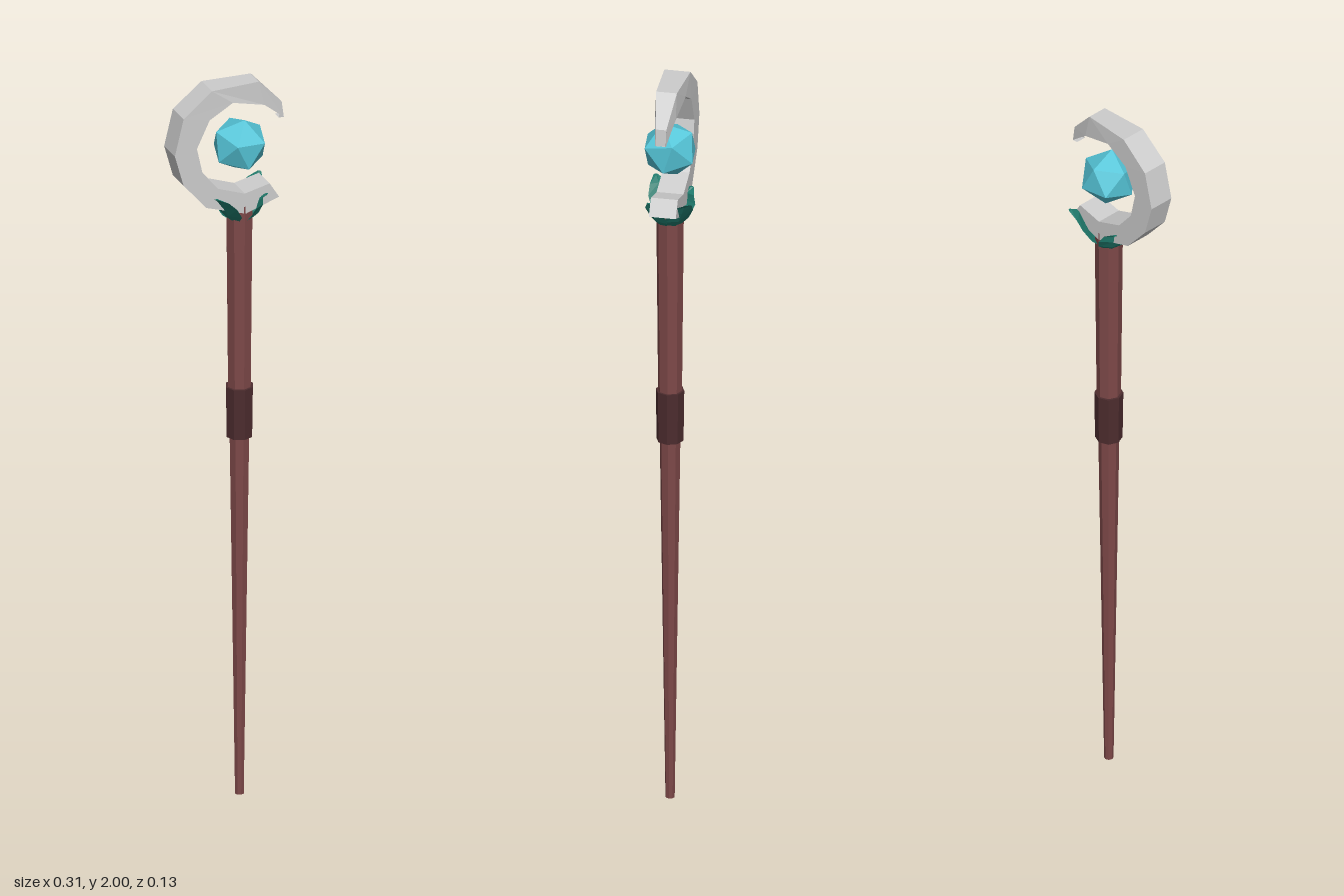
import * as THREE from 'three';

const AXIS = 0.037; // x of the shaft and gem

const flat = (color) => new THREE.MeshStandardMaterial({ color, flatShading: true });

function add(group, name, geometry, material, x = 0, y = 0, z = 0) {
  const mesh = new THREE.Mesh(geometry, material);
  mesh.name = name;
  mesh.position.set(x, y, z);
  group.add(mesh);
  return mesh;
}

// Skin a list of equal-sized rings (right-handed about the travel direction) and cap both ends.
function loft(rings) {
  const n = rings[0].length, last = rings.length - 1, pos = [];
  const tri = (...pts) => pts.forEach((p) => pos.push(p.x, p.y, p.z));
  for (let i = 0; i < last; i++) {
    for (let j = 0; j < n; j++) {
      const k = (j + 1) % n;
      tri(rings[i][j], rings[i][k], rings[i + 1][k]);
      tri(rings[i][j], rings[i + 1][k], rings[i + 1][j]);
    }
  }
  for (let j = 1; j < n - 1; j++) {
    tri(rings[0][0], rings[0][j + 1], rings[0][j]);
    tri(rings[last][0], rings[last][j], rings[last][j + 1]);
  }
  const g = new THREE.BufferGeometry();
  g.setAttribute('position', new THREE.Float32BufferAttribute(pos, 3));
  g.computeVertexNormals();
  return g;
}

// Open hook: outer x, y, inner x, y, half depth for each section
function crookGeometry() {
  const sections = [
    [0.132, 1.671, 0.106, 1.713, 0.035],
    [0.04, 1.64, 0.037, 1.697, 0.035],
    [-0.069, 1.676, -0.037, 1.724, 0.035],
    [-0.132, 1.75, -0.08, 1.777, 0.035],
    [-0.156, 1.836, -0.095, 1.846, 0.035],
    [-0.132, 1.936, -0.06, 1.92, 0.035],
    [-0.053, 2.0, 0.005, 1.957, 0.034],
    [0.08, 2.0, 0.095, 1.932, 0.027],
    [0.148, 1.926, 0.154, 1.882, 0.014],
    [0.152, 1.882, 0.14, 1.882, 0.013],
  ];
  return loft(sections.map(([ox, oy, ix, iy, d]) => [
    new THREE.Vector3(ox, oy, -d), new THREE.Vector3(ox, oy, d),
    new THREE.Vector3(ix, iy, d), new THREE.Vector3(ix, iy, -d),
  ]));
}

// Cupped pointed leaf leaning out towards (dx, dz)
function leafGeometry(dx, dz, top) {
  const reach = Math.hypot(dx, dz);
  const out = new THREE.Vector3(dx / reach, 0, dz / reach);
  const side = new THREE.Vector3(0, 1, 0).cross(out);
  // height fraction, distance from axis, half width, cup depth
  const rows = [
    [0, 0.03, 0.016, 0.006],
    [0.25, 0.05, 0.034, 0.012],
    [0.6, 0.04 + reach * 0.3, 0.036, 0.01],
    [0.85, reach * 0.82, 0.024, 0.006],
    [1, reach, 0.005, 0.002],
  ];
  const at = (r, y, s) => new THREE.Vector3(0, y, 0).addScaledVector(out, r).addScaledVector(side, s);
  return loft(rows.map(([f, r, w, cup]) => {
    const y = 1.615 + f * (top - 1.615);
    return [at(r, y, 0), at(r - cup, y, w), at(r - 0.008, y, 0), at(r - cup, y, -w)];
  }));
}

export function createModel() {
  const model = new THREE.Group();
  model.name = 'staff';
  const wood = flat(0x7d4848), wrap = flat(0x4c2c2e), metal = flat(0xcccccc);
  const green = flat(0x1f7a6c), blue = flat(0x55c5d8);

  // Tapered shaft with a dark grip
  add(model, 'lowerShaft', new THREE.CylinderGeometry(0.027, 0.012, 1.02, 8), wood, AXIS, 0.51);
  add(model, 'upperShaft', new THREE.CylinderGeometry(0.036, 0.031, 0.53, 8), wood, AXIS, 1.395);
  add(model, 'grip', new THREE.CylinderGeometry(0.037, 0.035, 0.14, 8), wrap, AXIS, 1.075);

  // Hooked head
  add(model, 'crook', crookGeometry(), metal);

  // Floating faceted gem
  const gem = add(model, 'gem', new THREE.IcosahedronGeometry(0.075, 0), blue, AXIS, 1.822);
  gem.rotation.set(0.1, -0.3, 0.45, 'ZXY');

  // Four leaves around the head of the shaft
  const leaves = new THREE.Group();
  leaves.name = 'leaves';
  leaves.position.x = AXIS;
  model.add(leaves);
  [[-0.09, 0.058, 1.705], [0.083, -0.062, 1.705], [-0.068, -0.045, 1.69], [0.06, 0.046, 1.69]]
    .forEach(([x, z, top], i) => add(leaves, `leaf${i + 1}`, leafGeometry(x, z, top), green));

  return model;
}
